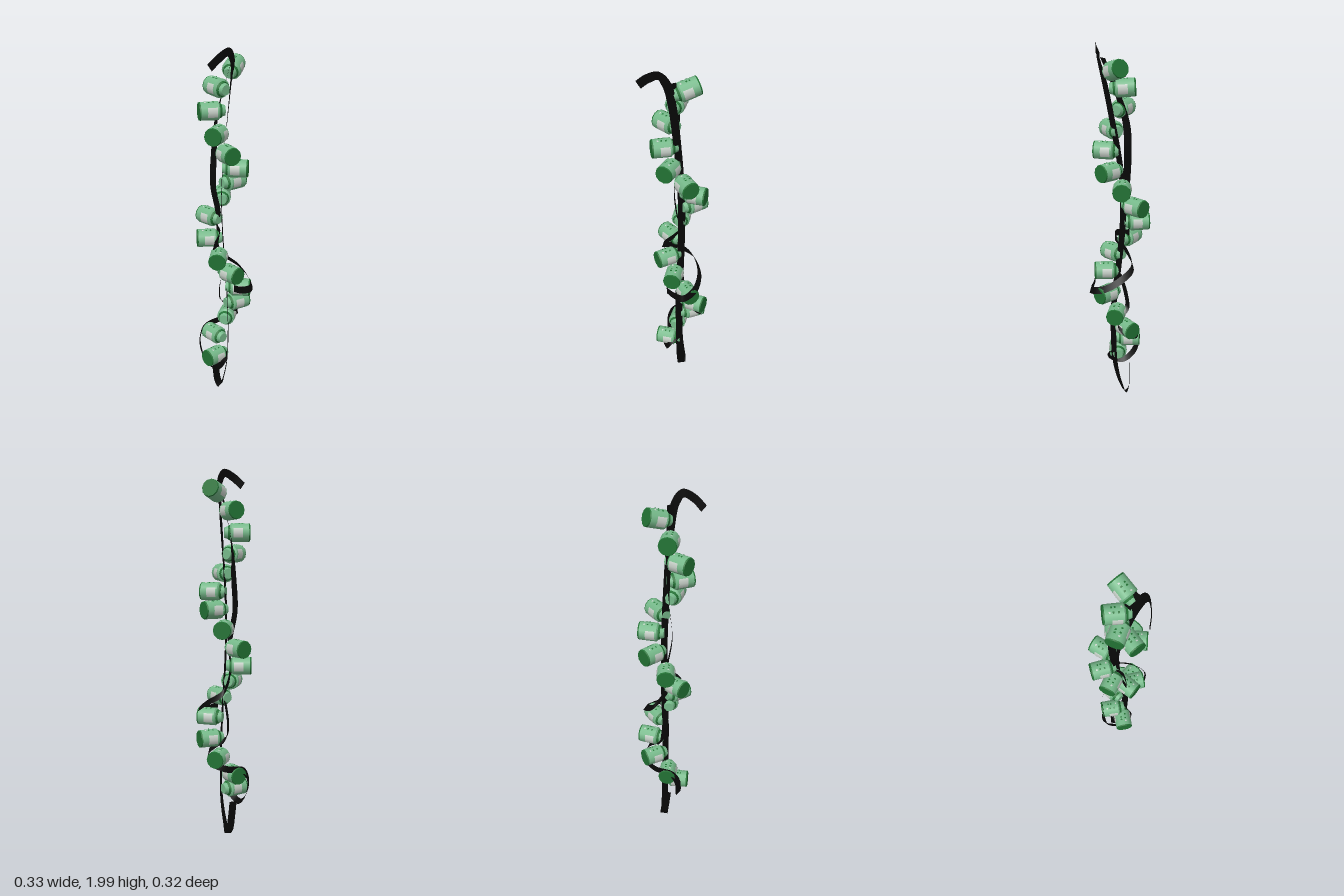
import * as THREE from 'three';

const mat = (name, color, extra = {}) => {
  const m = new THREE.MeshStandardMaterial({ color, ...extra });
  m.name = name;
  return m;
};

// Flat ribbon: each point is [x, y, z, wx, wy, wz] (centre and width direction)
function ribbonGeometry(points, width, steps) {
  const path = new THREE.CatmullRomCurve3(points.map(p => new THREE.Vector3(p[0], p[1], p[2])));
  const across = new THREE.CatmullRomCurve3(points.map(p => new THREE.Vector3(p[3], p[4], p[5])));
  const pos = [], index = [];
  for (let i = 0; i <= steps; i++) {
    const c = path.getPoint(i / steps);
    const w = across.getPoint(i / steps).normalize().multiplyScalar(width / 2);
    pos.push(c.x - w.x, c.y - w.y, c.z - w.z, c.x + w.x, c.y + w.y, c.z + w.z);
    if (i < steps) {
      const a = i * 2;
      index.push(a, a + 1, a + 2, a + 1, a + 3, a + 2);
    }
  }
  const g = new THREE.BufferGeometry();
  g.setAttribute('position', new THREE.Float32BufferAttribute(pos, 3));
  g.setIndex(index);
  g.computeVertexNormals();
  return g;
}

export function createModel() {
  const model = new THREE.Group();
  const lightGreen = mat('light green', 0x76b98a);
  const darkGreen = mat('dark green', 0x227234);
  const pale = mat('pale label', 0xc6cfc7);
  const black = mat('black ribbon', 0x080808, { side: THREE.DoubleSide });

  // Jar parts, axis along +y, base at the outer end (+y), neck at the inner end
  const R = 0.05, H = 0.092, SIDES = 12;
  const bodyGeo = new THREE.CylinderGeometry(R * 0.97, R, H, SIDES, 1, true);
  const baseGeo = new THREE.CylinderGeometry(R * 0.92, R * 0.97, 0.007, SIDES);
  const shoulderGeo = new THREE.CylinderGeometry(R, 0.041, 0.007, SIDES, 1, true);
  const ringGeo = new THREE.CylinderGeometry(0.041, 0.036, 0.011, SIDES);
  const capGeo = new THREE.CylinderGeometry(0.034, 0.027, 0.02, SIDES);
  const patch = (height, start, length, segments) =>
    new THREE.CylinderGeometry(R + 0.0005, R + 0.001, height, segments, 1, true, start, length);
  const labelGeo = patch(0.05, Math.PI / 3, Math.PI / 3, 2);
  const fleckGeo = patch(0.008, 0.12, 0.2, 1);

  // Small dark and pale flecks on the upper side: [height, turn in facets, material]
  const flecks = [
    [0.012, 0, darkGreen], [-0.004, 0, darkGreen], [0.004, -1, darkGreen],
    [-0.02, -1, darkGreen], [0.022, -1, pale], [-0.034, 0, pale],
  ];

  function jar() {
    const g = new THREE.Group();
    const add = (name, geo, m, y, turn = 0) => {
      const mesh = new THREE.Mesh(geo, m);
      mesh.name = name;
      mesh.position.y = y;
      mesh.rotation.y = turn;
      g.add(mesh);
    };
    add('jarBody', bodyGeo, lightGreen, 0);
    add('jarBase', baseGeo, darkGreen, H / 2 + 0.0035);
    add('jarShoulder', shoulderGeo, lightGreen, -H / 2 - 0.0035);
    add('jarRing', ringGeo, darkGreen, -H / 2 - 0.0125);
    add('jarCap', capGeo, lightGreen, -H / 2 - 0.027);
    for (const turn of [0, Math.PI]) add('jarLabel', labelGeo, pale, -0.013, turn);
    for (const [y, facet, m] of flecks) add('jarFleck', fleckGeo, m, y, facet * Math.PI / 6);
    return g;
  }

  // Spiral of jars: body centre, then the direction of the base
  const jars = [
    [0.068, 1.88, 0.016, 0.75, 0.28, -0.55],
    [-0.01, 1.778, -0.03, -0.05, 0.06, -1],
    [-0.066, 1.663, -0.015, -0.9, 0, -0.4],
    [-0.064, 1.55, 0.05, -0.8, 0, 0.5],
    [-0.015, 1.447, 0.083, -0.12, 0, 1],
    [0.072, 1.352, 0.054, 0.7, 0, 0.65],
    [0.1, 1.262, -0.02, 1, 0, -0.03],
    [0.071, 1.163, -0.092, 0.6, 0, -0.8],
    [-0.01, 1.058, -0.105, -0.2, 0, -1],
    [-0.058, 0.955, -0.053, -0.85, 0, -0.5],
    [-0.049, 0.862, 0.042, -0.6, -0.05, 0.65],
    [0.01, 0.772, 0.083, 0.15, 0, 1],
    [0.086, 0.667, 0.066, 0.7, 0, 0.65],
    [0.112, 0.558, 0.01, 1, 0, 0.1],
    [0.08, 0.457, -0.048, 0.75, 0, -0.65],
    [-0.01, 0.357, -0.058, -0.1, 0, -1],
    [-0.058, 0.258, 0.015, -1, 0, 0.1],
  ];
  const up = new THREE.Vector3(0, 1, 0), basis = new THREE.Matrix4();
  jars.forEach(([x, y, z, dx, dy, dz], i) => {
    const j = jar();
    j.name = 'jar' + (i + 1);
    const axis = new THREE.Vector3(dx, dy, dz).normalize();
    const side = new THREE.Vector3().crossVectors(axis, up).normalize();
    basis.makeBasis(side, axis, new THREE.Vector3().crossVectors(side, axis));
    j.quaternion.setFromRotationMatrix(basis);
    j.position.set(x, y, z);
    model.add(j);
  });

  const addRibbon = (name, points, width) => {
    const mesh = new THREE.Mesh(ribbonGeometry(points, width, points.length * 10), black);
    mesh.name = name;
    model.add(mesh);
  };

  // Long strand with a curled tail at the top and a hook at the bottom
  addRibbon('mainRibbon', [
    [-0.152, 1.91, 0.117, -0.6, 0.8, 0],
    [-0.1, 1.955, 0.128, -0.5, 0.85, 0],
    [-0.045, 1.977, 0.125, 0.15, 1, 0.05],
    [-0.01, 1.93, 0.11, 0.85, 0.35, -0.35],
    [0.005, 1.8, 0.075, 0.7, 0, -0.7],
    [0.012, 1.6, 0.035, 0.65, 0, -0.75],
    [0.015, 1.4, 0, 0.65, 0, -0.75],
    [0.018, 1.2, -0.02, 0.65, 0, -0.75],
    [0.02, 1.0, -0.015, 0.65, 0, -0.75],
    [0.022, 0.8, 0.005, 0.65, 0, -0.75],
    [0.022, 0.6, 0.028, 0.65, 0, -0.75],
    [0.025, 0.4, 0.033, 0.65, 0, -0.75],
    [0.025, 0.2, 0.022, 0.7, 0, -0.7],
    [0.02, 0.07, -0.008, 0.75, -0.1, -0.6],
    [0.018, 0.014, -0.035, 0.9, 0.2, -0.3],
    [0.014, 0.04, -0.053, 1, 0.1, 0],
    [0.003, 0.12, -0.056, 1, 0, 0],
    [-0.006, 0.2, -0.056, 1, 0, 0],
  ], 0.044);

  // Second strand weaving behind, then looping out around the middle jars
  addRibbon('loopRibbon', [
    [0.008, 1.93, 0.085, -0.7, 0, 0.7],
    [0.002, 1.8, 0.03, -0.6, 0, 0.7],
    [-0.008, 1.6, -0.033, -0.25, 0, 0.95],
    [-0.016, 1.42, -0.042, 0.25, 0, 0.95],
    [-0.028, 1.25, -0.033, 0.25, 0, 0.95],
    [-0.005, 1.1, -0.02, 0.2, 0.3, 0.8],
    [0.01, 1.0, -0.05, 0.1, 1, 0.1],
    [-0.02, 0.985, 0.015, 0.2, 1, 0],
    [-0.07, 0.935, 0.03, 0.3, 1, 0],
    [-0.02, 0.925, 0, 0.2, 1, 0],
    [0.02, 0.875, -0.05, 0, 1, 0.1],
    [0.07, 0.815, -0.075, -0.3, 0.85, 0.3],
    [0.128, 0.76, -0.01, -0.5, 0.85, 0.25],
    [0.134, 0.71, 0.08, -0.5, 0.85, 0],
    [0.09, 0.69, 0.15, -0.1, 1, -0.3],
    [0.03, 0.692, 0.142, 0, 1, -0.1],
    [-0.01, 0.71, 0.135, 0, 1, 0],
  ], 0.04);

  // Third strand wrapping the lowest jars
  addRibbon('lowerRibbon', [
    [0.015, 0.76, 0.0, 0.7, 0, -0.7],
    [0.015, 0.64, -0.035, 0.7, 0, -0.7],
    [0.03, 0.56, -0.043, 0.5, -0.4, -0.5],
    [0.07, 0.522, -0.005, 0.1, -1, 0],
    [0.115, 0.485, 0.0, 0.3, -0.9, -0.2],
    [0.125, 0.44, -0.05, 0.3, -0.9, -0.2],
    [0.06, 0.405, -0.098, 0.2, -1, 0],
    [-0.04, 0.385, -0.104, 0.4, -0.9, -0.2],
    [-0.075, 0.33, -0.1, 0.65, -0.2, -0.65],
    [-0.075, 0.24, -0.08, 0.65, -0.5, -0.55],
    [-0.066, 0.18, -0.02, 0.6, -0.8, 0],
    [-0.06, 0.19, 0.04, 0.6, -0.6, 0.4],
    [-0.03, 0.24, 0.064, 0.7, -0.4, 0.4],
    [0.0, 0.28, 0.04, 0.8, -0.5, 0],
  ], 0.036);

  return model;
}
